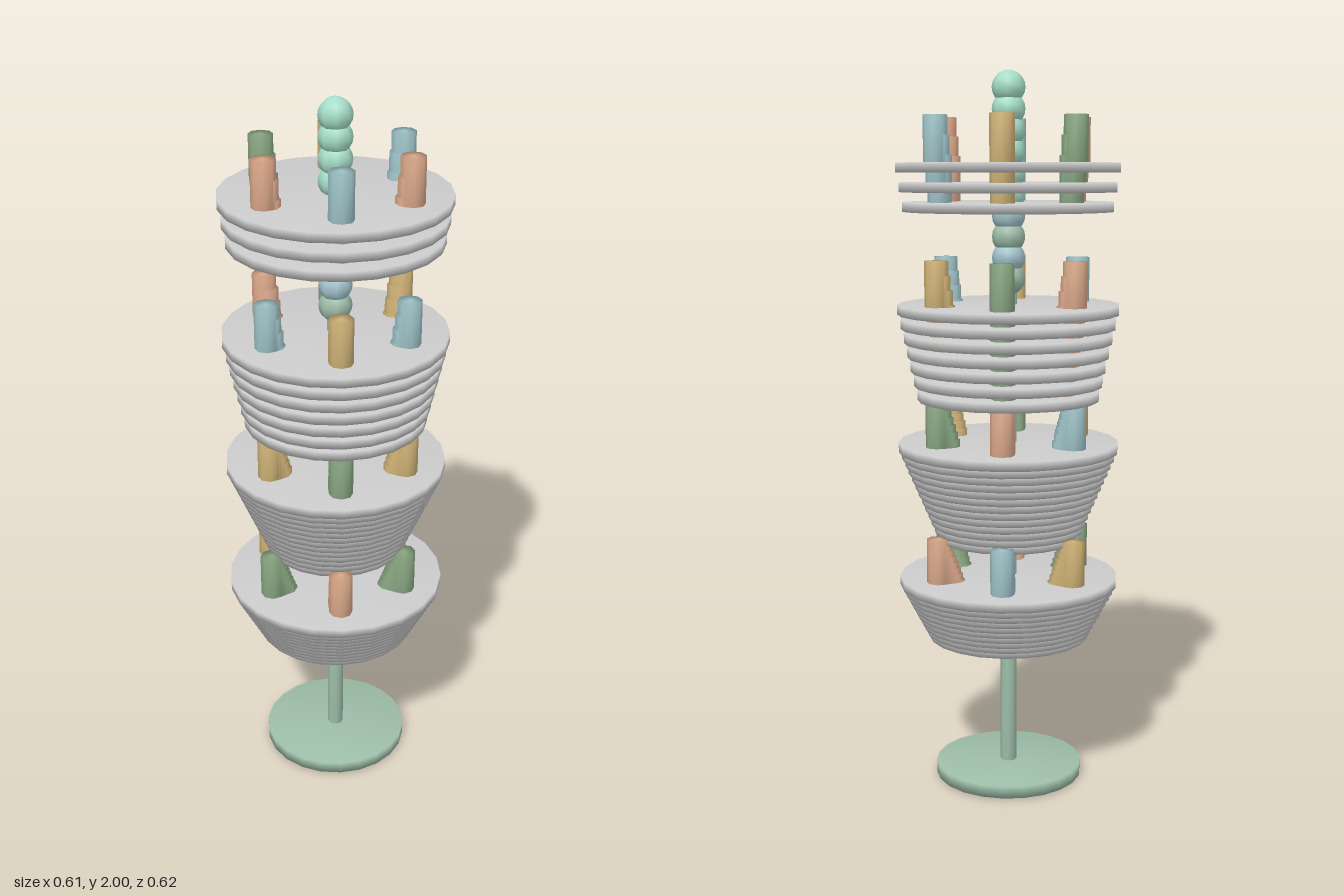
import * as THREE from 'three';
import { mergeVertices } from 'three/addons/utils/BufferGeometryUtils.js';

const mat = (color) => new THREE.MeshStandardMaterial({ color });

// Cylinder whose caps and wall share their normals
function softCylinder(radius, height, sides) {
  let g = new THREE.CylinderGeometry(radius, radius, height, sides);
  g.deleteAttribute('normal');
  g.deleteAttribute('uv');
  g = mergeVertices(g, 1e-4);
  g.computeVertexNormals();
  return g;
}

export function createModel() {
  const model = new THREE.Group();
  model.name = 'tieredTower';

  const add = (parent, name, geometry, material, x, y, z) => {
    const mesh = new THREE.Mesh(geometry, material);
    mesh.name = name;
    mesh.position.set(x, y, z);
    parent.add(mesh);
    return mesh;
  };

  const grey = mat(0xcccccc);
  const green = mat(0x9dbda8);
  const paleBlue = mat(0xa3c4cc);
  const aqua = mat(0xa5dec9);
  const pegColors = [0xdba98a, 0x8aa883, 0xd0b377, 0x9fc4c9].map(mat);

  // Foot and central pole
  add(model, 'foot', softCylinder(0.209, 0.035, 22), green, 0, 0.02, 0);
  add(model, 'lowerPole', softCylinder(0.023, 0.44, 8), green, 0, 0.22, 0);
  add(model, 'upperPole', softCylinder(0.023, 1.02, 8), paleBlue, 0, 0.95, 0);

  // Tiers: stacked discs shrinking downward, each carrying a ring of six pegs
  const discHeight = 0.026;
  const pegHeight = 0.138;
  const pegGeometry = softCylinder(0.033, pegHeight, 8);
  const ringPattern = [0, 1, 0, 3, 2, 1];
  const tiers = [
    { top: 0.583, count: 10, gap: 0.017 },
    { top: 0.968, count: 13, gap: 0.021 },
    { top: 1.354, count: 7, gap: 0.04 },
    { top: 1.74, count: 3, gap: 0.053 },
  ];
  tiers.forEach(({ top, count, gap }, t) => {
    const tier = new THREE.Group();
    tier.name = `tier${t + 1}`;
    model.add(tier);
    for (let i = 0; i < count; i++) {
      const radius = 0.309 - 0.009 * i;
      const y = top - gap * i;
      add(tier, 'disc', softCylinder(radius, discHeight, 22), grey, 0, y, 0);
      ringPattern.forEach((c, k) => {
        const a = (k * Math.PI) / 3;
        const r = radius * 0.7;
        add(tier, 'peg', pegGeometry, pegColors[(c + t) % 4],
          Math.sin(a) * r, y + pegHeight / 2, Math.cos(a) * r);
      });
    }
  });

  // Column of beads at the top of the pole
  const beadGeometry = new THREE.SphereGeometry(0.046, 8, 10);
  for (let i = 0; i < 10; i++) {
    const color = i < 6 ? aqua : i % 2 ? green : paleBlue;
    add(model, 'bead', beadGeometry, color, 0, 1.954 - 0.0573 * i, 0);
  }

  return model;
}
